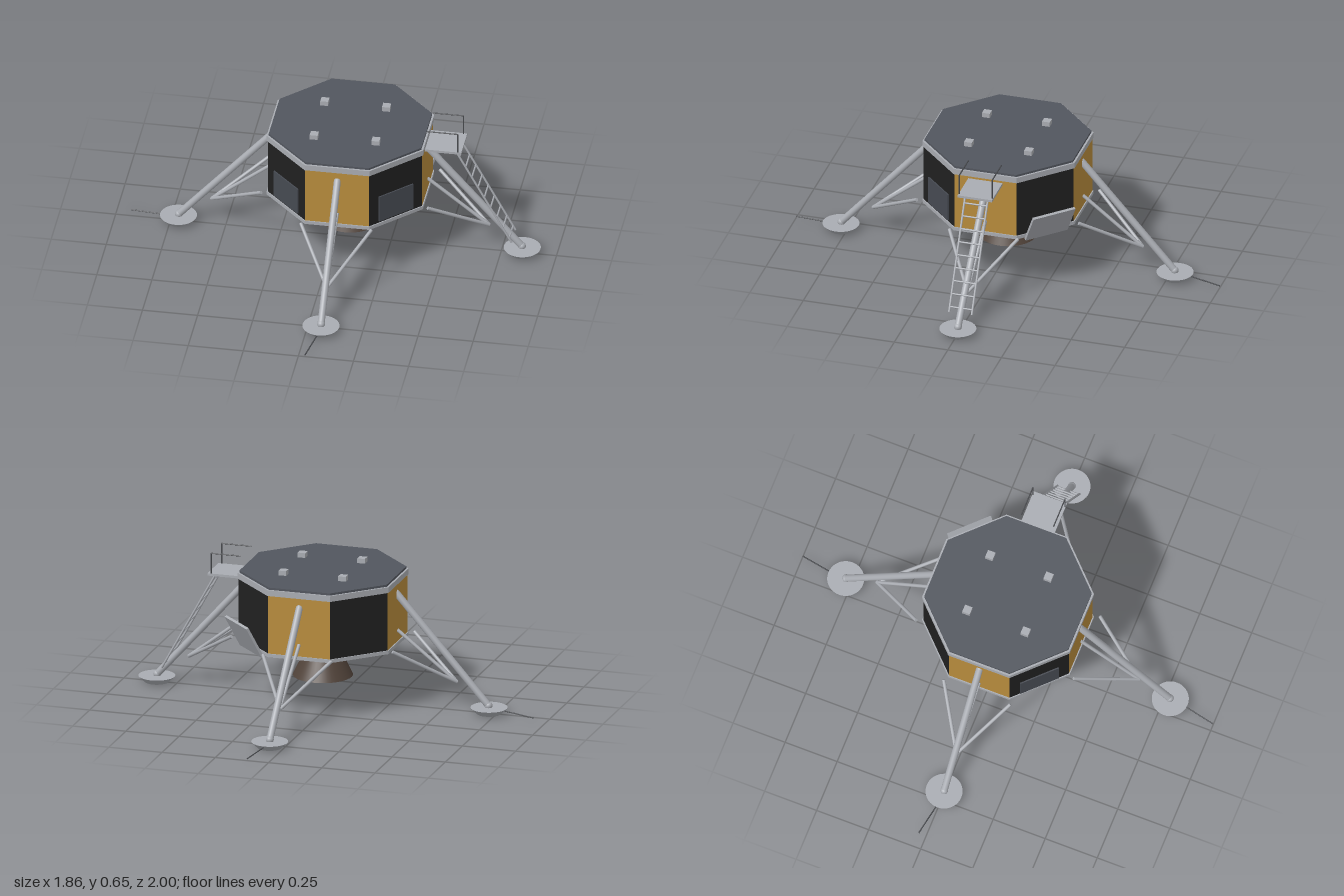
import * as THREE from 'three';

const flat = (name, color) => {
  const m = new THREE.MeshStandardMaterial({ color });
  m.name = name;
  return m;
};

export function createModel() {
  const gold = flat('gold foil', 0xb88c3c);
  const black = flat('black panel', 0x202020);
  const grey = flat('light grey', 0xa9acb2);
  const deckGrey = flat('deck grey', 0x52565e);
  const hatchGrey = flat('hatch grey', 0x464a52);
  const wire = flat('dark wire', 0x4a4c50);
  const bronze = flat('nozzle bronze', 0x51433a);
  bronze.side = THREE.DoubleSide;

  const model = new THREE.Group();
  model.name = 'landerDescentStage';
  const craft = new THREE.Group();
  craft.name = 'craft';
  craft.position.x = 0.065;
  model.add(craft);

  const add = (parent, name, geometry, material, x = 0, y = 0, z = 0) => {
    const mesh = new THREE.Mesh(geometry, material);
    mesh.name = name;
    mesh.position.set(x, y, z);
    parent.add(mesh);
    return mesh;
  };
  const group = (name, angle = 0) => {
    const g = new THREE.Group();
    g.name = name;
    g.rotation.y = angle;
    craft.add(g);
    return g;
  };
  // Straight round bar between two points
  const bar = (parent, name, a, b, r, material, sides = 10) => {
    const p = new THREE.Vector3(...a), q = new THREE.Vector3(...b);
    const mesh = add(parent, name, new THREE.CylinderGeometry(r, r, p.distanceTo(q), sides), material);
    mesh.position.copy(p).add(q).multiplyScalar(0.5);
    mesh.quaternion.setFromUnitVectors(new THREE.Vector3(0, 1, 0), q.sub(p).normalize());
    return mesh;
  };
  // Octagonal prism with flats on the main axes, measured across its flats
  const octagon = (apothem, y0, y1, open = false) => {
    const r = apothem / Math.cos(Math.PI / 8);
    const g = new THREE.CylinderGeometry(r, r, y1 - y0, 8, 1, open).toNonIndexed();
    g.rotateY(Math.PI / 8).translate(0, (y0 + y1) / 2, 0);
    g.computeVertexNormals();
    return g;
  };

  // Octagonal body, black and gold sides in turn
  const sides = octagon(0.35, 0.29, 0.575, true);
  sides.clearGroups();
  for (let i = 0; i < 8; i++) sides.addGroup(i * 6, 6, i % 2);
  add(craft, 'bodySides', sides, [black, gold]);
  add(craft, 'bottomPlate', octagon(0.355, 0.28, 0.296), grey);
  add(craft, 'topRim', octagon(0.355, 0.567, 0.594), grey);
  add(craft, 'topDeck', octagon(0.346, 0.59, 0.604), deckGrey);
  for (const x of [-0.14, 0.14]) {
    for (const z of [-0.14, 0.14]) {
      add(craft, 'deckFitting', new THREE.BoxGeometry(0.036, 0.024, 0.036), grey, x, 0.614, z);
    }
  }

  // Hatch plates on the two front diagonals
  for (const s of [-1, 1]) {
    const bay = group('hatchBay', s * Math.PI / 4);
    add(bay, 'hatchPlate', new THREE.BoxGeometry(0.186, 0.13, 0.008), hatchGrey, 0, 0.37, 0.352);
  }
  // Opened equipment flap, hinged at the lower edge
  const flapBay = group('equipmentBay', 3 * Math.PI / 4);
  const flapGeo = new THREE.BoxGeometry(0.213, 0.163, 0.012).translate(0, 0.0815, 0);
  add(flapBay, 'equipmentFlap', flapGeo, grey, 0, 0.27, 0.358).rotation.x = 0.49;

  // Engine
  add(craft, 'engineCollar', new THREE.CylinderGeometry(0.112, 0.095, 0.045, 32), black, 0, 0.266, 0);
  const bell = [[0.062, 0.255], [0.072, 0.235], [0.09, 0.2], [0.112, 0.155], [0.135, 0.108]]
    .reverse().map(([r, y]) => new THREE.Vector2(r, y));
  add(craft, 'engineBell', new THREE.LatheGeometry(bell, 40), bronze);

  // Landing legs, each built facing +z and turned into place
  for (let i = 0; i < 4; i++) {
    const leg = group('landingLeg', i * Math.PI / 2);
    bar(leg, 'mainStrut', [0, 0.522, 0.345], [0, 0.035, 0.778], 0.016, grey, 16);
    add(leg, 'upperJoint', new THREE.SphereGeometry(0.016, 16, 10), grey, 0, 0.522, 0.345);
    add(leg, 'ankleJoint', new THREE.SphereGeometry(0.018, 16, 10), grey, 0, 0.035, 0.778);
    bar(leg, 'centreBrace', [0, 0.132, 0.63], [0, 0.35, 0.35], 0.008, grey);
    for (const s of [-1, 1]) {
      bar(leg, 'sideBrace', [0, 0.132, 0.63], [s * 0.16, 0.296, 0.378], 0.008, grey);
    }
    add(leg, 'footPad', new THREE.CylinderGeometry(0.083, 0.055, 0.028, 40), grey, 0, 0.014, 0.78);
    // The ladder leg (+x) carries no contact probe
    if (i !== 1) bar(leg, 'contactProbe', [0, 0.022, 0.82], [-0.035, 0.009, 1], 0.003, wire, 6);
  }

  // Porch, handrails and ladder on the +x side
  const porch = group('porch', Math.PI / 2);
  add(porch, 'porchFloor', new THREE.BoxGeometry(0.16, 0.011, 0.165), grey, 0, 0.55, 0.434);
  for (const s of [-1, 1]) {
    const x = s * 0.077;
    bar(porch, 'railPost', [x, 0.55, 0.5], [x, 0.65, 0.5], 0.003, wire, 6);
    bar(porch, 'handRail', [x, 0.65, 0.36], [x, 0.65, 0.5], 0.003, wire, 6);
    bar(porch, 'ladderRail', [s * 0.053, 0.545, 0.487], [s * 0.053, 0.083, 0.74], 0.005, grey, 8);
  }
  for (let i = 0; i < 9; i++) {
    const t = (i + 0.6) / 9;
    const y = 0.545 - 0.462 * t, z = 0.487 + 0.253 * t;
    bar(porch, 'ladderRung', [-0.053, y, z], [0.053, y, z], 0.004, grey, 8);
  }
  return model;
}
